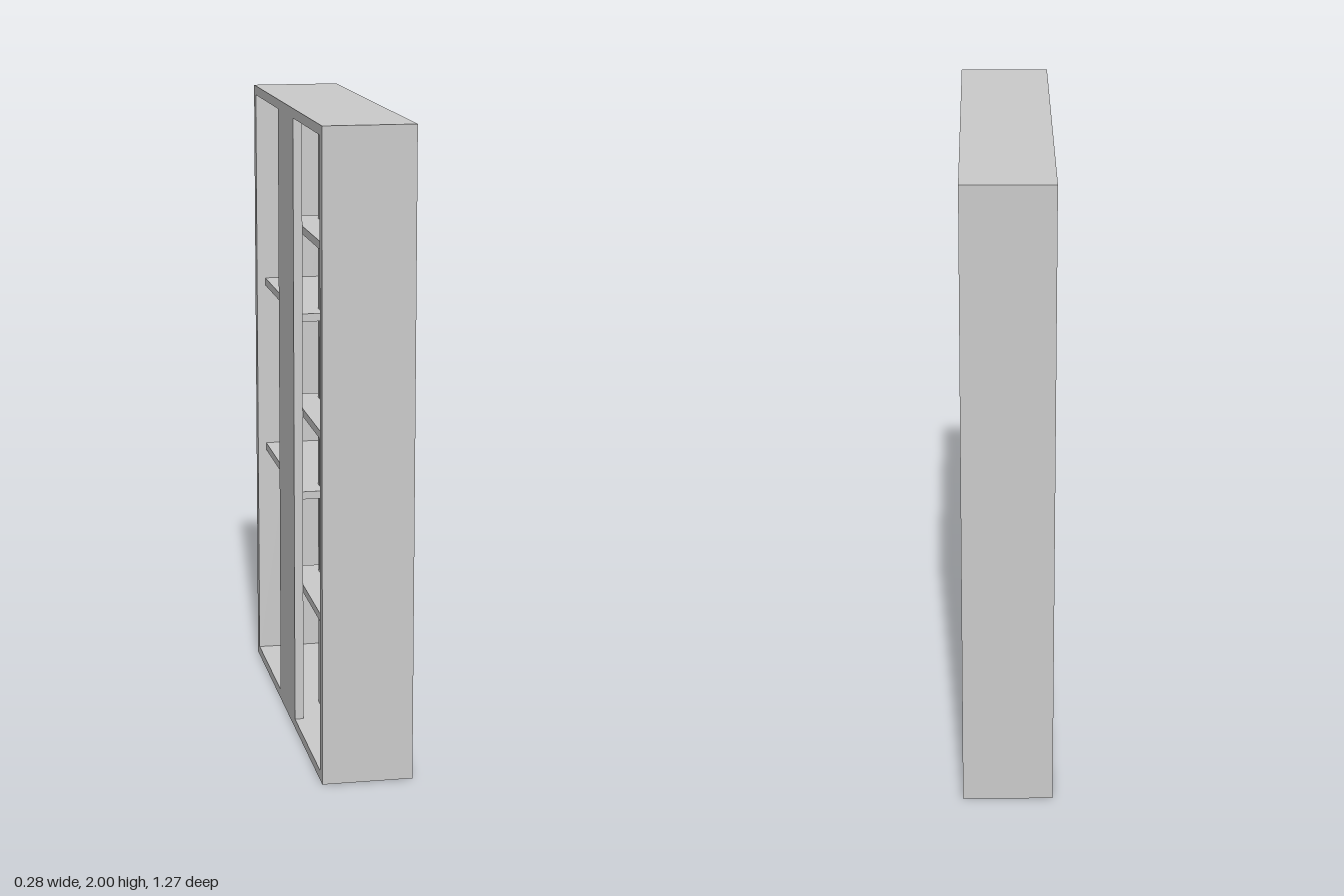
import * as THREE from 'three';

export function createModel() {
  const model = new THREE.Group();
  model.name = 'bookcase';
  const material = new THREE.MeshStandardMaterial({ color: 0xcccccc });

  // Box given by its extents along each axis
  function board(name, [x0, x1], [y0, y1], [z0, z1]) {
    const mesh = new THREE.Mesh(new THREE.BoxGeometry(x1 - x0, y1 - y0, z1 - z0), material);
    mesh.position.set((x0 + x1) / 2, (y0 + y1) / 2, (z0 + z1) / 2);
    mesh.name = name;
    model.add(mesh);
  }

  const depth = [-0.14, 0.14];
  const half = 0.635, inner = 0.598, rail = 0.03;

  // Outer frame: full-height uprights with top and bottom boards between them
  board('frontUpright', depth, [0, 2], [inner, half]);
  board('backUpright', depth, [0, 2], [-half, -inner]);
  board('topBoard', depth, [2 - rail, 2], [-inner, inner]);
  board('bottomBoard', depth, [0, rail], [-inner, inner]);

  // Wide panel along one open side, and the slim divider that carries the shelves
  board('sidePanel', [-0.14, -0.112], [rail, 2 - rail], [-0.142, 0.142]);
  board('centreDivider', [-0.035, 0.063], [rail, 2 - rail], [-0.0135, 0.0135]);

  // Shelves alternate between the two uprights and overlap past the divider
  for (let i = 0; i < 5; i++) {
    const y = 0.469 + i * 0.289;
    const span = i % 2 === 0 ? [-0.072, inner] : [-inner, 0.072];
    board('shelf' + (i + 1), [-0.112, 0.14], [y - 0.0125, y + 0.0125], span);
  }
  return model;
}
